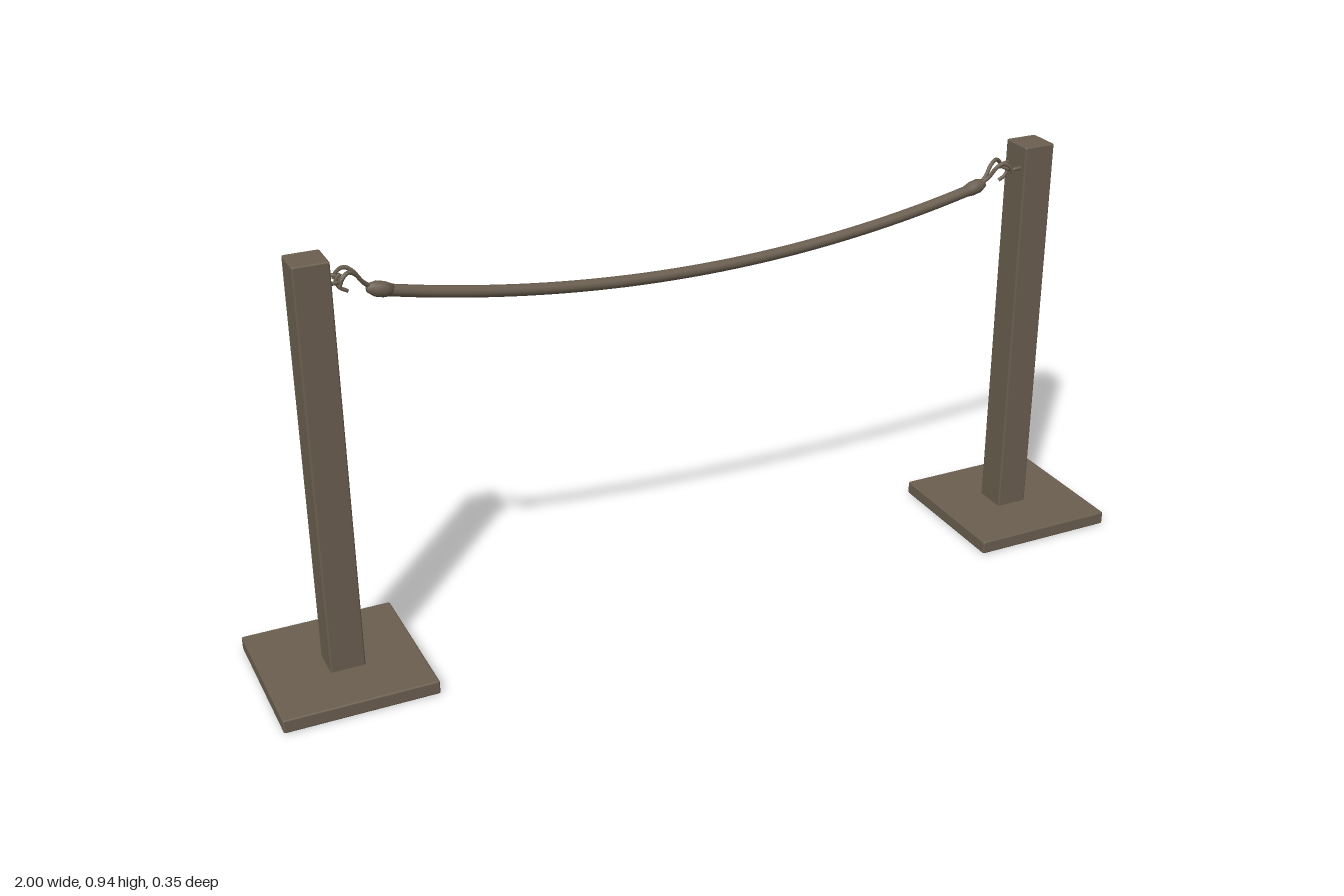
import * as THREE from 'three';
import { RoundedBoxGeometry } from 'three/addons/geometries/RoundedBoxGeometry.js';

export function createModel() {
  const group = new THREE.Group();
  const wood = new THREE.MeshStandardMaterial({ color: 0x6a5e4f });
  wood.name = 'weathered brown';

  const add = (name, geometry, parent = group) => {
    const mesh = new THREE.Mesh(geometry, wood);
    mesh.name = name;
    parent.add(mesh);
    return mesh;
  };

  // Box given by its extents, with slightly worn edges
  const block = (name, x0, x1, y0, y1, z0, z1, parent) => {
    const mesh = add(name, new RoundedBoxGeometry(x1 - x0, y1 - y0, z1 - z0, 2, 0.004), parent);
    mesh.position.set((x0 + x1) / 2, (y0 + y1) / 2, (z0 + z1) / 2);
  };

  const tube = (name, points, radius, steps, sides, parent) => {
    const curve = new THREE.CatmullRomCurve3(points.map(p => new THREE.Vector3(...p)));
    return add(name, new THREE.TubeGeometry(curve, steps, radius, sides), parent);
  };

  // Base plates, each cut a little differently
  block('leftBase', 0.66, 1, 0.003, 0.034, -0.162, 0.175);
  block('rightBase', -1, -0.67, 0.003, 0.034, -0.178, 0.168);

  // Sagging rope
  const sag = x => 0.769 + 0.166 * x * x;
  const ropePoints = [];
  for (let i = 0; i <= 12; i++) {
    const x = -0.69 + i * 0.115;
    ropePoints.push([x, sag(x), 0]);
  }
  tube('rope', ropePoints, 0.0125, 48, 10);

  for (const s of [-1, 1]) {
    const side = s > 0 ? 'left' : 'right';
    const end = new THREE.Group();
    end.name = side + 'End';
    group.add(end);

    block(side + 'Post', Math.min(s * 0.79, s * 0.865), Math.max(s * 0.79, s * 0.865),
      0.03, 0.938, -0.035, 0.041, end);

    // Swollen rope end with tapered tip
    const profile = [[0, -0.03], [0.012, -0.03], [0.016, -0.012], [0.016, 0.006], [0.009, 0.022], [0, 0.026]];
    const cap = add(side + 'RopeEnd',
      new THREE.LatheGeometry(profile.map(p => new THREE.Vector2(...p)), 10), end);
    cap.position.set(s * 0.69, 0.85, 0);
    cap.rotation.z = -s * (Math.PI / 2 - 0.26);

    // Pair of wires rising from the rope and hooking over the eye
    for (const d of [-1, 1]) {
      tube(side + 'HookWire', [
        [s * 0.7, 0.854, 0], [s * 0.72, 0.87, d * 0.006], [s * 0.734, 0.89, d * 0.011],
        [s * 0.75, 0.9, d * 0.016], [s * 0.764, 0.892, d * 0.021], [s * 0.771, 0.877, d * 0.022],
      ], 0.0045, 20, 6, end);
    }

    // Curved claw below the hook
    tube(side + 'HookClaw', [
      [s * 0.762, 0.895, 0], [s * 0.772, 0.882, 0], [s * 0.767, 0.867, 0], [s * 0.75, 0.856, 0],
    ], 0.004, 12, 6, end);

    // Staple fixed to the inner face of the post
    tube(side + 'Staple', [
      [s * 0.795, 0.887, -0.024], [s * 0.772, 0.885, -0.021], [s * 0.764, 0.884, 0],
      [s * 0.772, 0.885, 0.021], [s * 0.795, 0.887, 0.024],
    ], 0.0045, 20, 6, end);
  }
  return group;
}
